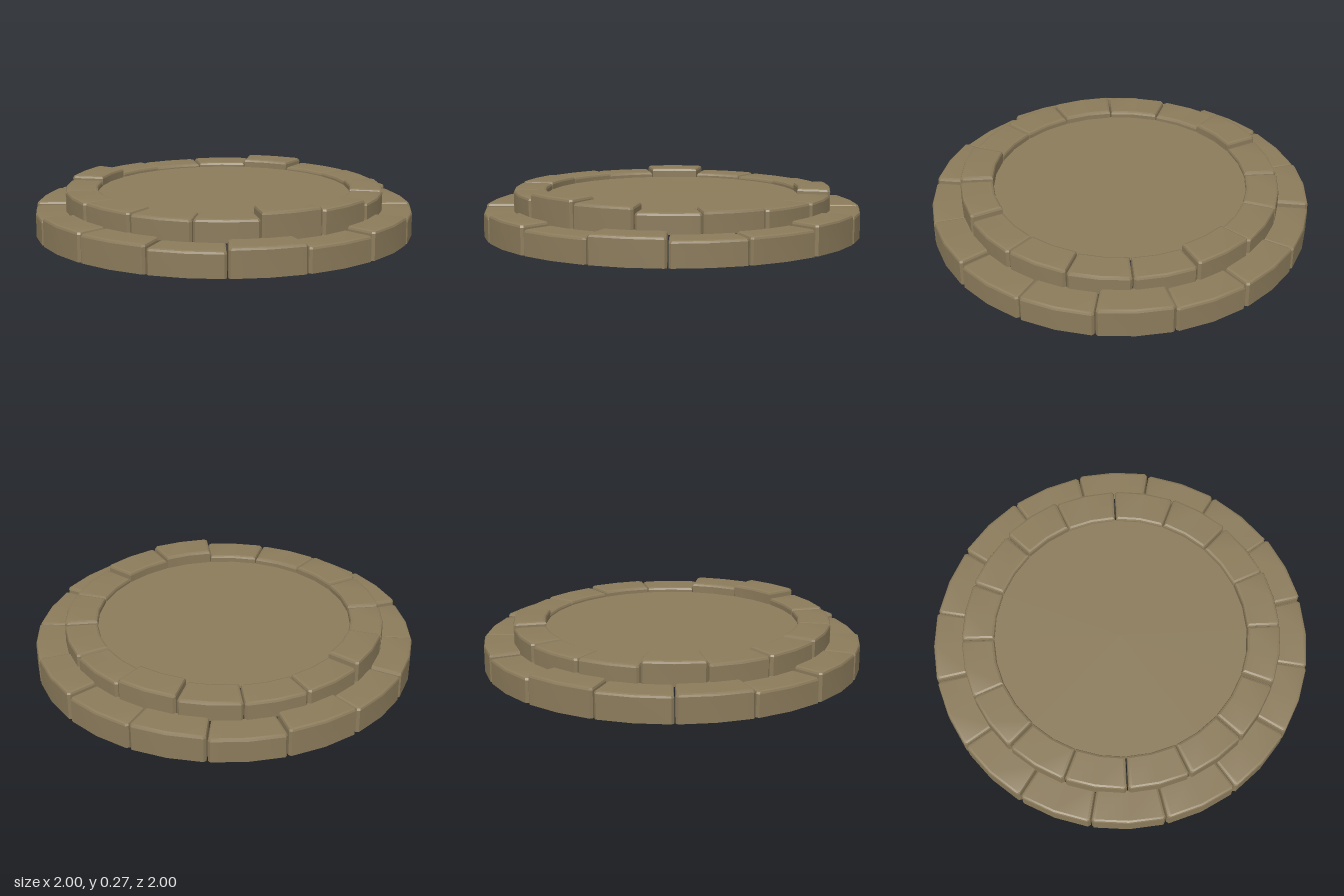
import * as THREE from 'three';
import { toCreasedNormals } from 'three/addons/utils/BufferGeometryUtils.js';

const BLOCKS = 16;
const STEP = (Math.PI * 2) / BLOCKS;
const GAP = 0.003, BEVEL = 0.014, CORNER = 0.012;

// Plan outline of one curved block (5 outer points, then 3 inner points)
function outline(rIn, rOut, a0, inset, innerInset) {
  const ro = rOut - inset, ri = rIn + innerInset;
  const m = GAP + inset, a1 = a0 + STEP, mid = a0 + STEP / 2;
  return [
    [ro - CORNER, a0 + m / ro], [ro, a0 + (m + CORNER) / ro], [ro, mid],
    [ro, a1 - (m + CORNER) / ro], [ro - CORNER, a1 - m / ro],
    [ri, a1 - m / ri], [ri, mid], [ri, a0 + m / ri],
  ].map(([r, a]) => [r * Math.cos(a), r * Math.sin(a)]);
}

// Hollow curved block with a bevelled top and an open underside
function blockGeometry({ rIn, rOut, bottom, innerWall }, a0, top) {
  const levels = [[bottom, 0], [top - BEVEL, 0], [top - BEVEL * 0.3, BEVEL * 0.3], [top, BEVEL]];
  const rings = levels.map(([y, inset]) =>
    outline(rIn, rOut, a0, inset, innerWall ? inset : 0).map(([x, z]) => [x, y, z]));
  const pos = [];
  const tri = (a, b, c) => pos.push(...a, ...b, ...c);
  for (let l = 0; l < rings.length - 1; l++) {
    for (let i = 0; i < 8; i++) {
      if (!innerWall && (i === 5 || i === 6)) continue;
      const j = (i + 1) % 8, lo = rings[l], hi = rings[l + 1];
      tri(lo[i], hi[i], hi[j]);
      tri(lo[i], hi[j], lo[j]);
    }
  }
  const t = rings[rings.length - 1];
  for (const [a, b, c] of [[0, 1, 7], [1, 2, 7], [2, 6, 7], [2, 3, 6], [3, 5, 6], [3, 4, 5]]) tri(t[a], t[c], t[b]);
  const geo = new THREE.BufferGeometry();
  geo.setAttribute('position', new THREE.Float32BufferAttribute(pos, 3));
  return toCreasedNormals(geo, 0.35);
}

export function createModel() {
  const stone = new THREE.MeshStandardMaterial({ color: 0x8b7b5b, side: THREE.DoubleSide });
  stone.name = 'sandstone';
  const model = new THREE.Group();
  model.name = 'roundStonePlatform';

  // Two stepped rings of blocks; heights run from +x towards +z
  const courses = [
    {
      name: 'lowerRing', rIn: 0.83, rOut: 1, bottom: 0, innerWall: false, start: 0,
      heights: [0.155, 0.135, 0.13, 0.148, 0.13, 0.148, 0.13, 0.145,
        0.15, 0.13, 0.145, 0.14, 0.152, 0.13, 0.145, 0.14],
    },
    {
      name: 'upperRing', rIn: 0.67, rOut: 0.842, bottom: 0.128, innerWall: true, start: STEP / 2,
      heights: [0.228, 0.237, 0.232, 0.258, 0.273, 0.243, 0.24, 0.245,
        0.24, 0.235, 0.255, 0.23, 0.225, 0.23, 0.25, 0.225],
    },
  ];
  for (const course of courses) {
    const ring = new THREE.Group();
    ring.name = course.name;
    course.heights.forEach((h, i) => {
      const mesh = new THREE.Mesh(blockGeometry(course, course.start + i * STEP, h), stone);
      mesh.name = course.name + 'Block' + (i + 1);
      ring.add(mesh);
    });
    model.add(ring);
  }

  // Flat floor inside the upper ring
  const floor = new THREE.Mesh(new THREE.CircleGeometry(0.675, 32).rotateX(-Math.PI / 2), stone);
  floor.name = 'floor';
  floor.position.y = 0.205;
  model.add(floor);
  return model;
}
